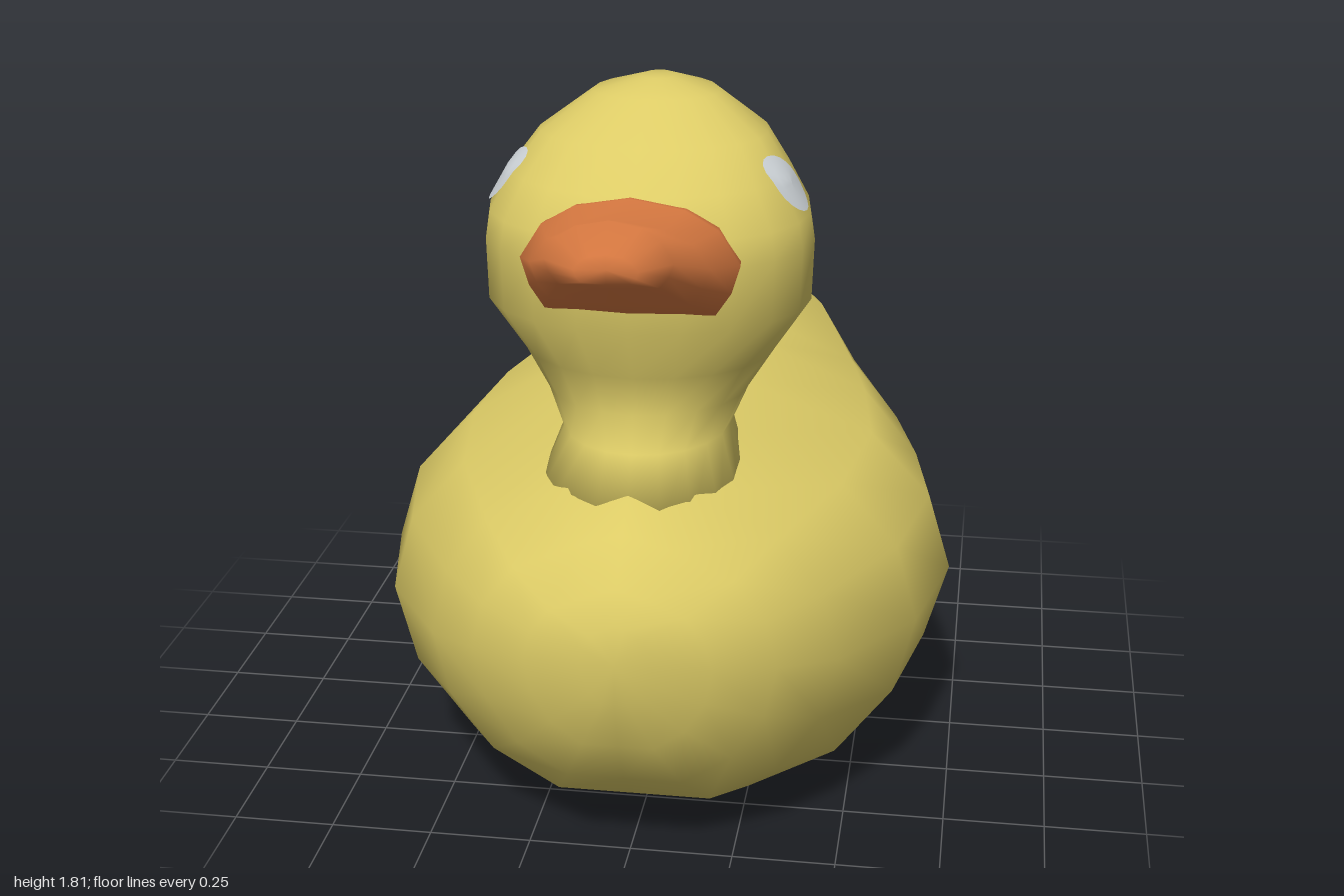
import * as THREE from 'three';

const yellow = new THREE.MeshStandardMaterial({ color: 0xdccb66 });
yellow.name = 'duckYellow';
const orange = new THREE.MeshStandardMaterial({ color: 0xdb7b42 });
orange.name = 'beakOrange';
const pale = new THREE.MeshStandardMaterial({ color: 0xd0d6da });
pale.name = 'eyeGrey';

// Skin a list of closed rings and close both ends.
// Rings run counter-clockwise when seen from the end they advance towards.
function loft(rings) {
  const n = rings[0].length, m = rings.length, pos = [], idx = [];
  rings.forEach(r => r.forEach(p => pos.push(...p)));
  for (let i = 0; i < m - 1; i++) {
    for (let j = 0; j < n; j++) {
      const k = (j + 1) % n;
      const a = i * n + j, b = i * n + k, c = a + n, d = b + n;
      idx.push(a, b, d, a, d, c);
    }
  }
  [0, m - 1].forEach((i, end) => {
    const centre = [0, 1, 2].map(q => rings[i].reduce((s, p) => s + p[q], 0) / n);
    const c = pos.length / 3;
    pos.push(...centre);
    for (let j = 0; j < n; j++) {
      const a = i * n + j, b = i * n + (j + 1) % n;
      if (end) idx.push(c, a, b); else idx.push(c, b, a);
    }
  });
  const g = new THREE.BufferGeometry();
  g.setAttribute('position', new THREE.Float32BufferAttribute(pos, 3));
  g.setIndex(idx);
  g.computeVertexNormals();
  return g;
}

// Rings across z from a half outline (top to bottom), mirrored in x.
// Each section is [z, bottom, top, halfWidth, widestY].
function crossRings(sections, half) {
  const outline = [
    ...half.map(([u, v]) => [-u, v]),
    ...half.slice(1, -1).reverse(),
  ];
  return sections.map(([z, bot, top, w, mid]) => outline.map(([u, v]) =>
    [u * w, mid + v * (v > 0 ? top - mid : mid - bot), z]));
}

// Neck and head levels: [y, backZ, frontZ, halfWidth]
const HEAD = [
  [0.85, 0.12, 0.80, 0.26],
  [1.01, 0.09, 0.69, 0.20],
  [1.10, 0.06, 0.67, 0.24],
  [1.19, 0.00, 0.67, 0.30],
  [1.32, -0.07, 0.74, 0.385],
  [1.465, -0.08, 0.74, 0.39],
  [1.53, -0.06, 0.73, 0.38],
  [1.62, -0.01, 0.68, 0.33],
  [1.70, 0.03, 0.56, 0.27],
  [1.785, 0.14, 0.43, 0.15],
  [1.812, 0.22, 0.32, 0.04],
];
const centreZ = (back, front) => back + 0.6 * (front - back);

function headRings(sides) {
  return HEAD.map(([y, back, front, w]) => {
    const zc = centreZ(back, front);
    return Array.from({ length: sides }, (_, j) => {
      const a = j / sides * Math.PI * 2, s = -Math.sin(a);
      return [w * Math.cos(a), y, zc + s * (s > 0 ? front - zc : zc - back)];
    });
  });
}

// Half width of the head at a given height and depth
function headX(y, z) {
  const i = HEAD.findIndex(r => r[0] > y);
  const t = (y - HEAD[i - 1][0]) / (HEAD[i][0] - HEAD[i - 1][0]);
  const [, back, front, w] = HEAD[i].map((v, q) => THREE.MathUtils.lerp(HEAD[i - 1][q], v, t));
  const zc = centreZ(back, front);
  const s = (z - zc) / (z > zc ? front - zc : zc - back);
  return w * Math.sqrt(Math.max(0, 1 - s * s));
}

// Thin oval patch that follows the side of the head
function eyeGeometry(side) {
  const g = new THREE.RingGeometry(0.001, 1, 20, 3);
  const p = g.attributes.position;
  for (let i = 0; i < p.count; i++) {
    const z = 0.455 - 0.066 * p.getX(i);
    const y = 1.605 + 0.062 * p.getY(i);
    p.setXYZ(i, side * (headX(y, z) + 0.005), y + 0.004, z + 0.002);
  }
  if (side < 0) {
    const index = g.index.array;
    for (let i = 0; i < index.length; i += 3) [index[i], index[i + 1]] = [index[i + 1], index[i]];
  }
  g.computeVertexNormals();
  return g;
}

export function createModel() {
  const duck = new THREE.Group();
  duck.name = 'duck';
  const add = (name, geometry, material) => {
    const mesh = new THREE.Mesh(geometry, material);
    mesh.name = name;
    duck.add(mesh);
  };

  // Body, from the raised tail to the chest
  add('body', loft(crossRings([
    [-1.00, 0.70, 1.00, 0.02, 0.85],
    [-0.95, 0.50, 1.05, 0.13, 0.78],
    [-0.86, 0.34, 1.12, 0.30, 0.70],
    [-0.65, 0.12, 1.13, 0.46, 0.60],
    [-0.40, 0.01, 1.05, 0.61, 0.53],
    [-0.17, 0.00, 1.065, 0.68, 0.50],
    [0.08, 0.00, 1.03, 0.73, 0.50],
    [0.41, 0.00, 1.02, 0.66, 0.50],
    [0.69, 0.12, 0.97, 0.49, 0.52],
    [0.83, 0.24, 0.87, 0.36, 0.56],
    [0.91, 0.37, 0.77, 0.22, 0.58],
    [0.95, 0.50, 0.70, 0.08, 0.60],
  ], [
    [0, 1], [0.28, 0.9], [0.71, 0.68], [0.92, 0.37], [1, 0],
    [0.92, -0.4], [0.71, -0.76], [0.38, -1], [0, -1],
  ])), yellow);

  // Neck and head in one skin
  add('head', loft(headRings(20)), yellow);

  // Beak with an upturned tip
  add('beak', loft(crossRings([
    [0.60, 1.38, 1.61, 0.24, 1.48],
    [0.70, 1.35, 1.625, 0.25, 1.48],
    [0.83, 1.42, 1.61, 0.20, 1.51],
    [0.965, 1.50, 1.65, 0.14, 1.56],
    [1.00, 1.52, 1.585, 0.07, 1.55],
  ], [
    [0, 1], [0.5, 0.85], [0.8, 0.55], [1, 0], [0.92, -0.5], [0.78, -0.9], [0, -1],
  ])), orange);

  // Eyes
  add('leftEye', eyeGeometry(1), pale);
  add('rightEye', eyeGeometry(-1), pale);

  return duck;
}
